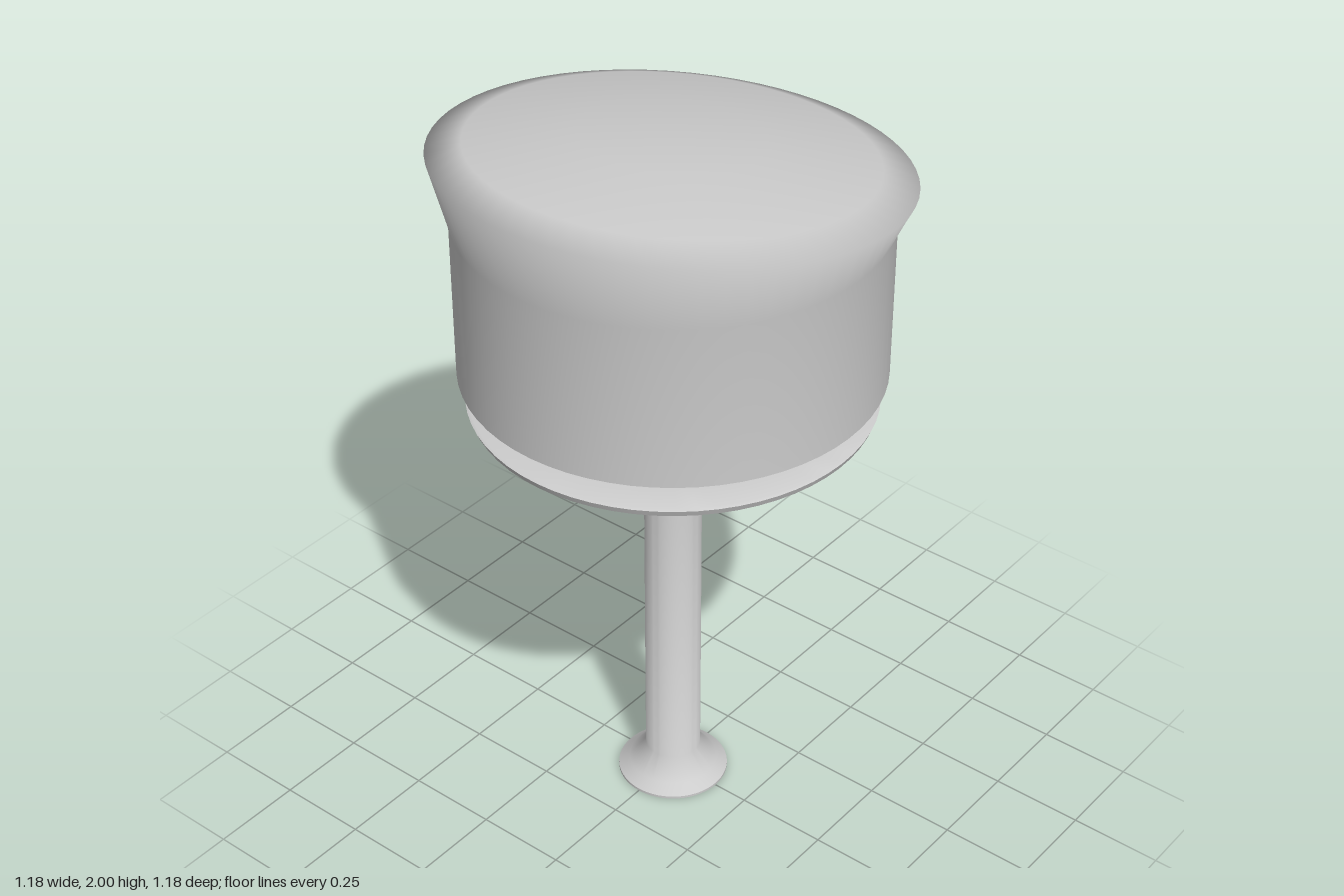
import * as THREE from 'three';
import { mergeVertices, toCreasedNormals } from 'three/addons/utils/BufferGeometryUtils.js';

const SEGMENTS = 64;
const TILT = 0.13; // slope of the cushion top, high on the -x side

const material = new THREE.MeshStandardMaterial({ color: 0xcccccc, side: THREE.DoubleSide });

const turned = (profile) =>
  new THREE.LatheGeometry(profile.map(([r, y]) => new THREE.Vector2(r, y)), SEGMENTS);

function addPart(group, name, geometry) {
  const mesh = new THREE.Mesh(geometry, material);
  mesh.name = name;
  group.add(mesh);
}

// Turned drum whose rings above the neck are sheared into a slanted top
function slantedHead() {
  const g = turned([
    [0.54, 1.335], [0.54, 1.77], [0.588, 1.898], [0.5, 1.93], [0.23, 1.97], [0, 1.973],
  ]);
  const p = g.attributes.position;
  for (let i = 0; i < p.count; i++) {
    if (p.getY(i) > 1.8) p.setY(i, p.getY(i) - TILT * p.getX(i));
  }
  // Weld the seam so the shading runs smoothly all round
  g.deleteAttribute('uv');
  g.deleteAttribute('normal');
  const welded = mergeVertices(g);
  welded.computeVertexNormals();
  return welded;
}

export function createModel() {
  const group = new THREE.Group();
  group.name = 'mushroomHeadOnStem';

  // Head with its flat underside
  addPart(group, 'head', slantedHead());
  addPart(group, 'headUnderside', turned([[0.39, 1.335], [0.54, 1.335]]));

  // Recessed collar between head and flange
  addPart(group, 'collar', turned([[0.395, 1.25], [0.395, 1.335]]));

  // Thin round flange
  addPart(group, 'flange', toCreasedNormals(turned([
    [0, 1.23], [0.13, 1.23], [0.515, 1.235], [0.522, 1.252], [0.515, 1.256], [0.39, 1.256],
  ]), 0.9));

  // Stem flaring out into a small foot
  addPart(group, 'stem', toCreasedNormals(turned([
    [0, 0], [0.15, 0], [0.15, 0.007], [0.12, 0.03], [0.075, 0.085], [0.075, 1.235],
  ]), 0.9));

  return group;
}
